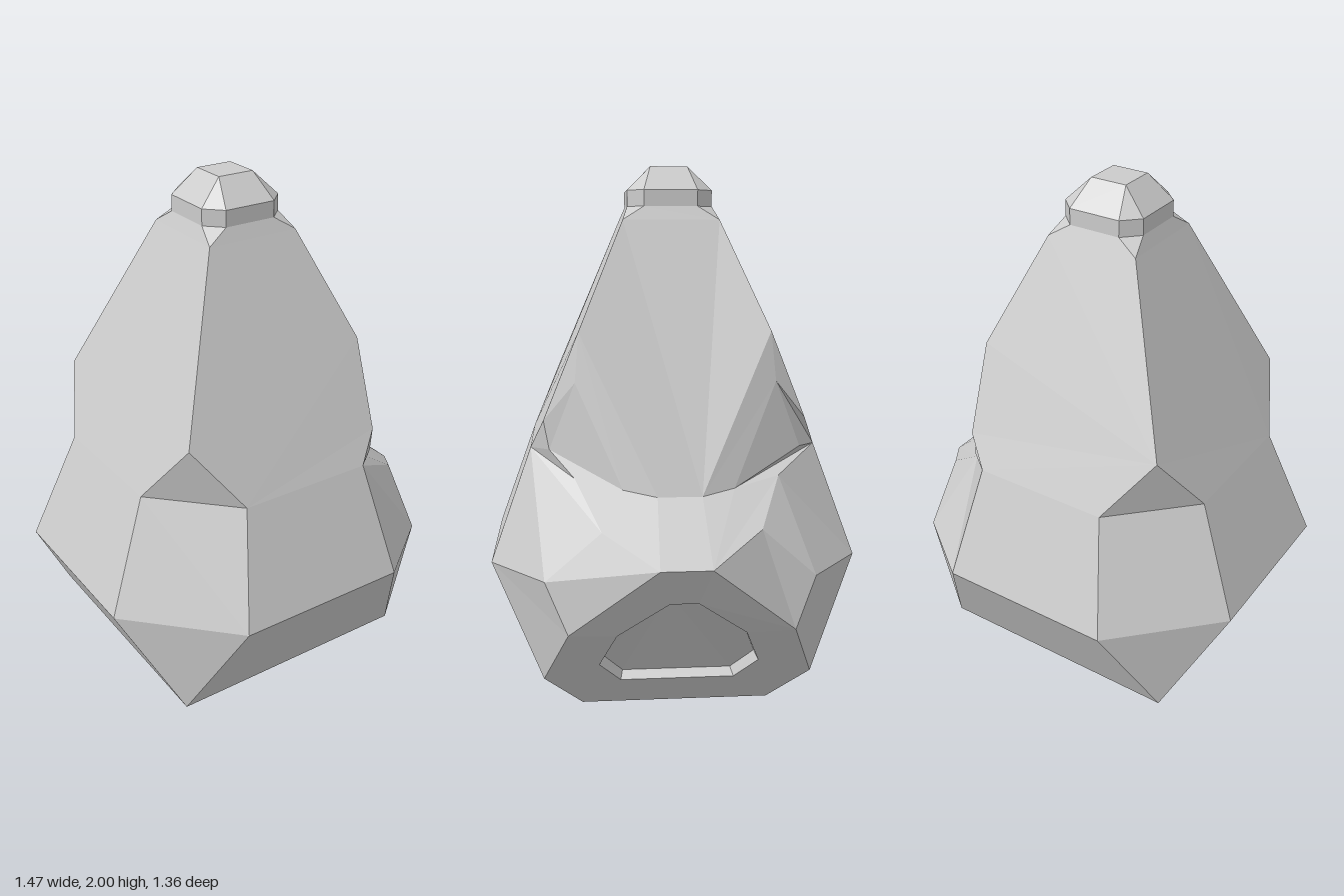
import * as THREE from 'three';

const V = (x, y, z) => new THREE.Vector3(x, y, z);
const flip = (p) => V(p.x, p.y, -p.z);
// a face and its mirror image in z
const both = (...f) => [f, f.map(flip).reverse()];
// a face crossing z = 0, given by its +z half
const across = (...f) => [[...f, ...f.map(flip).reverse()]];
const CORE = V(-0.02, 0.55, 0);

// Flat-shaded mesh from convex faces, each turned away from (or towards) a core point
function facetMesh(name, faces, core = CORE, inward = false) {
  const pos = [];
  for (const f of faces) {
    const normal = V(0, 0, 0), mid = V(0, 0, 0);
    f.forEach((p, i) => {
      normal.add(p.clone().cross(f[(i + 1) % f.length]));
      mid.addScaledVector(p, 1 / f.length);
    });
    const outward = normal.dot(mid.sub(core)) > 0;
    const g = outward !== inward ? f : [...f].reverse();
    for (let i = 1; i < g.length - 1; i++) {
      const area = g[i].clone().sub(g[0]).cross(g[i + 1].clone().sub(g[0])).length();
      if (area > 1e-8) for (const p of [g[0], g[i], g[i + 1]]) pos.push(p.x, p.y, p.z);
    }
  }
  const geo = new THREE.BufferGeometry();
  geo.setAttribute('position', new THREE.Float32BufferAttribute(pos, 3));
  geo.computeVertexNormals();
  const mesh = new THREE.Mesh(geo, new THREE.MeshStandardMaterial({ color: 0xcccccc, flatShading: true }));
  mesh.name = name;
  return mesh;
}

// Bands between two half outlines, mirrored and closed across z = 0
function bands(a, b) {
  const faces = [];
  for (let i = 0; i < a.length - 1; i++) faces.push(...both(a[i], a[i + 1], b[i + 1], b[i]));
  const n = a.length - 1;
  faces.push(...across(a[0], b[0]), ...across(a[n], b[n]));
  return faces;
}

export function createModel() {
  const group = new THREE.Group();

  // Corner points of the +z half: plain side (-x)
  const footL = V(-0.41, 0, 0.35), lowL = V(-0.54, 0.15, 0.49);
  const waistF = V(-0.39, 0.55, 0.68), waistL = V(-0.74, 0.55, 0.33);
  const ledgeF = V(-0.3, 0.97, 0.53), ledgeL = V(-0.57, 0.97, 0.26);
  const cornerL = V(-0.47, 1.2, 0.43), neckL = V(-0.22, 1.8, 0.18);
  // Snout side (+x)
  const footR = V(0.3, 0, 0.35), lowR = V(0.43, 0.15, 0.49), waistR = V(0.28, 0.55, 0.68);
  const ledgeR = V(0.22, 0.97, 0.53), notchA = V(0.3, 1.08, 0.48), notchB = V(0.335, 1.22, 0.365);
  const notchC = V(0.31, 0.975, 0.46), notchD = V(0.45, 0.85, 0.2), cornerR = V(0.31, 1.4, 0.35);
  const neckR = V(0.14, 1.8, 0.18), browR = V(0.49, 0.83, 0.08), brim = V(0.38, 0.88, 0.37);
  const tip = V(0.73, 0.63, 0.09), cheekTop = V(0.58, 0.73, 0.28);
  const cheekSide = V(0.55, 0.55, 0.48), cheekLow = V(0.6, 0.37, 0.4);

  // Octagonal cap rings, centred on the neck
  const ring = (y, a, b) => [[a, b], [b, a], [-b, a], [-a, b], [-a, -b], [-b, -a], [b, -a], [a, -b]]
    .map(([x, z]) => V(x - 0.04, y, z));
  const rings = [ring(1.85, 0.16, 0.1), ring(1.91, 0.16, 0.1), ring(2, 0.07, 0.07)];
  const r0 = rings[0];

  // Base: foot, bevel and flared lower walls
  group.add(facetMesh('base', [
    ...across(footL, footR),
    ...across(footL, lowL),
    ...across(lowL, waistL),
    ...both(footL, footR, lowR, lowL),
    ...both(lowL, lowR, waistR, waistF),
    ...both(lowL, waistF, waistL),
  ]));

  // Shoulders: belt of sloped faces over the waist, with overhung corners
  group.add(facetMesh('shoulders', [
    ...both(waistF, waistR, ledgeR, ledgeF),
    ...across(waistL, ledgeL),
    ...both(waistF, ledgeF, ledgeL, waistL),
    ...both(ledgeF, ledgeL, cornerL),
  ]));

  // Tapering upper body up to the neck
  group.add(facetMesh('upperBody', [
    ...both(ledgeF, ledgeR, notchA, cornerR, neckR, neckL, cornerL),
    ...across(ledgeL, cornerL, neckL),
    ...across(browR, cornerR, neckR),
    ...both(neckL, neckR, r0[1], r0[2]),
    ...across(neckL, r0[3]),
    ...across(neckR, r0[0]),
    ...both(neckL, r0[2], r0[3]),
    ...both(neckR, r0[0], r0[1]),
  ]));

  // Notches beside the snout
  group.add(facetMesh('notches', [
    ...both(cornerR, notchA, notchB),
    ...both(notchA, ledgeR, notchC, notchB),
    ...both(notchB, notchC, notchD),
    ...both(cornerR, notchB, notchD, browR),
    ...both(ledgeR, notchC, notchD, brim),
  ]));

  // Cap
  const cap = [rings[2]];
  for (let k = 0; k < 2; k++)
    for (let i = 0; i < 8; i++) {
      const j = (i + 1) % 8;
      cap.push([rings[k][i], rings[k][j], rings[k + 1][j], rings[k + 1][i]]);
    }
  group.add(facetMesh('cap', cap, V(-0.04, 1.8, 0)));

  // Snout: top and cheeks
  group.add(facetMesh('snout', [
    ...across(browR, tip),
    ...both(browR, notchD, brim, cheekTop, tip),
    ...both(tip, cheekTop, cheekSide, cheekLow),
    ...both(ledgeR, waistR, cheekSide, cheekTop, brim),
    ...both(waistR, lowR, cheekLow, cheekSide),
  ]));

  // Snout face with a shallow recessed panel
  const outline = [tip, cheekLow, lowR, footR];
  const rim = [V(0.648, 0.49, 0.05), V(0.575, 0.355, 0.23), V(0.465, 0.21, 0.29), V(0.39, 0.12, 0.21)];
  const floor = rim.map((p) => V(p.x - 0.035, p.y + 0.025, p.z * 0.96));
  group.add(facetMesh('snoutFace', bands(outline, rim)));
  group.add(facetMesh('recessWalls', bands(rim, floor), V(0.51, 0.3, 0), true));
  group.add(facetMesh('recessPanel', across(...floor)));

  return group;
}
